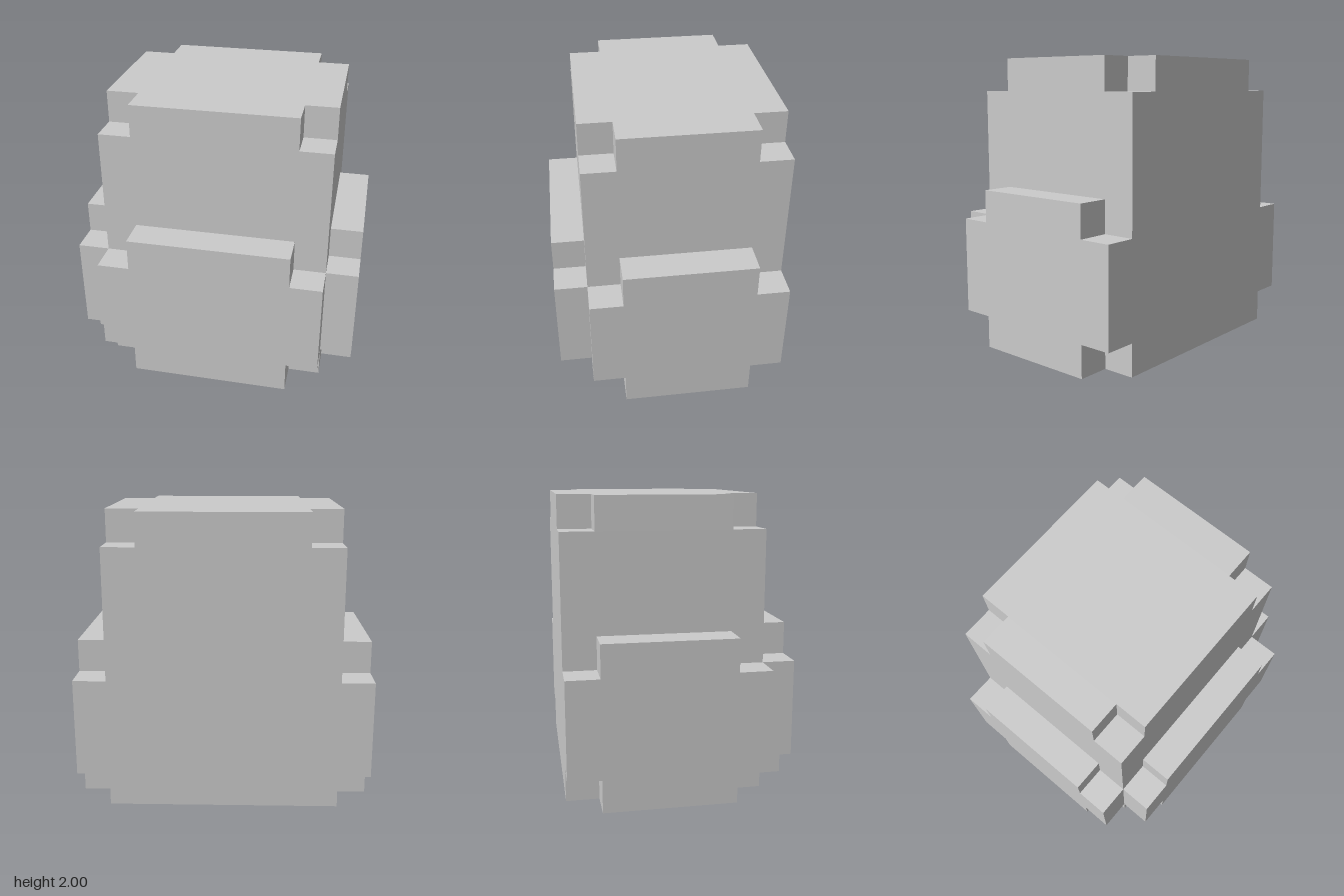
import * as THREE from 'three';

const U = 2 / 9; // one block
const material = new THREE.MeshStandardMaterial({ color: 0xcccccc, flatShading: true });

// Slab one block thick: a w x h rectangle with a one-block notch in each corner
function notchedSlab(w, h) {
  const a = w / 2, b = h / 2;
  const outline = [
    [a - 1, -b], [a - 1, 1 - b], [a, 1 - b], [a, b - 1], [a - 1, b - 1], [a - 1, b],
    [1 - a, b], [1 - a, b - 1], [-a, b - 1], [-a, 1 - b], [1 - a, 1 - b], [1 - a, -b],
  ].map(([x, y]) => new THREE.Vector2(x * U, y * U));
  return new THREE.ExtrudeGeometry(new THREE.Shape(outline), { depth: U, bevelEnabled: false })
    .translate(0, 0, -U / 2);
}

export function createModel() {
  const group = new THREE.Group();
  const add = (name, geometry, x, y, z) => {
    const mesh = new THREE.Mesh(geometry, material);
    mesh.name = name;
    mesh.position.set(x * U, y * U, z * U);
    group.add(mesh);
  };

  // Main body with a notched top layer
  add('body', new THREE.BoxGeometry(7 * U, 8 * U, 6 * U), 0, 4, -0.5);
  add('bodyTop', notchedSlab(7, 6).rotateX(-Math.PI / 2), 0, 8.5, -0.5);

  // Pockets on the front and both sides
  add('frontPocket', notchedSlab(7, 5), 0, 2.5, 3);
  for (const [name, side] of [['leftPocket', 1], ['rightPocket', -1]]) {
    add(name, notchedSlab(6, 5).rotateY(Math.PI / 2), side * 4, 2.5, -0.5);
  }

  return group;
}
